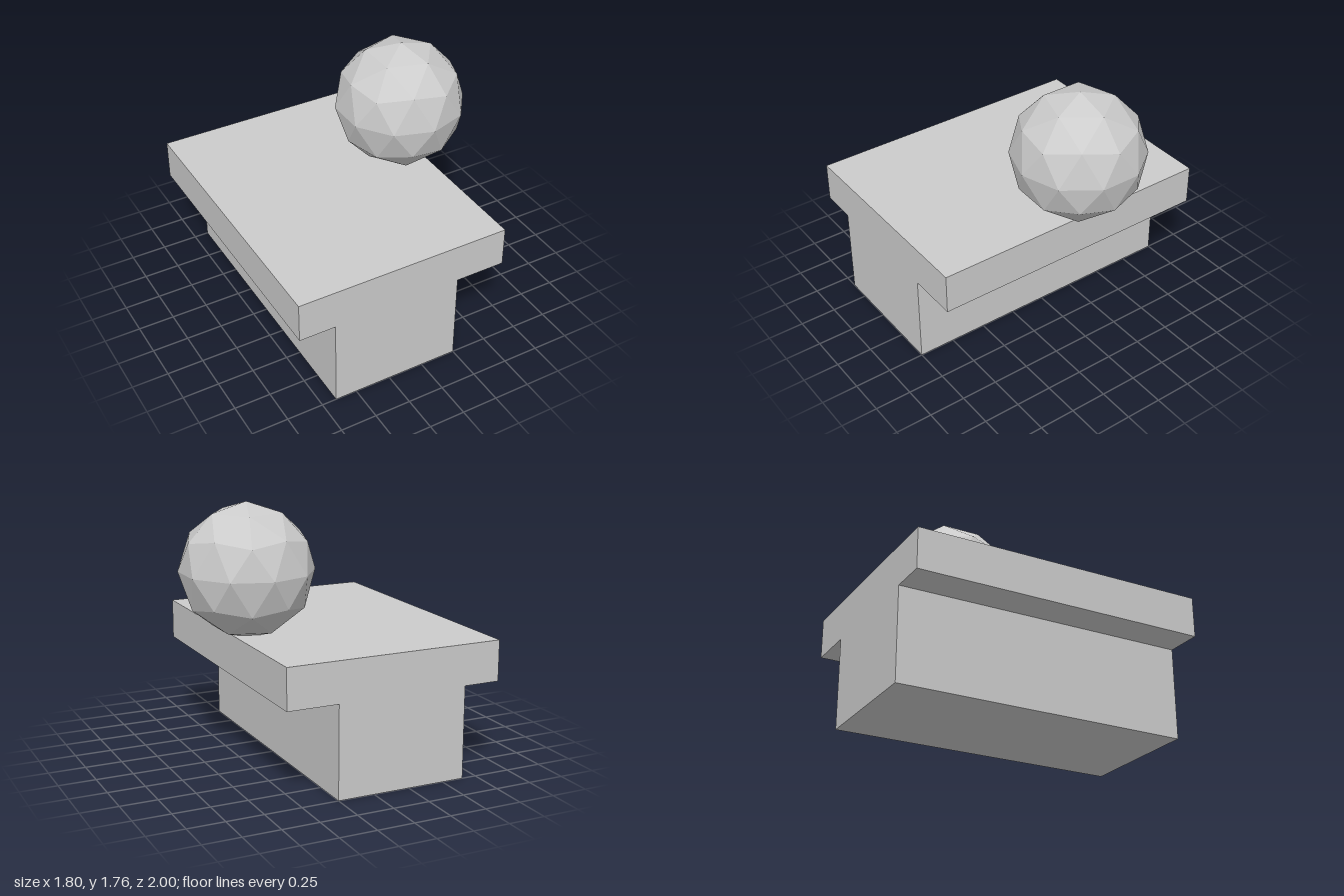
import * as THREE from 'three';

export function createModel() {
  const group = new THREE.Group();
  const material = new THREE.MeshStandardMaterial({ color: 0xcccccc, flatShading: true });

  // T-shaped block: wide slab on a narrower plinth, one profile run along z
  const profile = new THREE.Shape([
    [-0.65, 0], [0.25, 0], [0.25, 0.625], [0.6, 0.625],
    [0.6, 0.9], [-0.9, 0.9], [-0.9, 0.625], [-0.65, 0.625],
  ].map(([x, y]) => new THREE.Vector2(x, y)));
  const baseGeometry = new THREE.ExtrudeGeometry(profile, { depth: 2, bevelEnabled: false });
  baseGeometry.translate(0, 0, -1);
  const base = new THREE.Mesh(baseGeometry, material);
  base.name = 'tableBlock';
  group.add(base);

  // Faceted ball, turned so one corner points straight up, slightly sunk into the slab
  const ballGeometry = new THREE.IcosahedronGeometry(0.448, 1);
  const golden = (1 + Math.sqrt(5)) / 2;
  ballGeometry.rotateZ(-Math.atan(1 / golden));
  const ball = new THREE.Mesh(ballGeometry, material);
  ball.name = 'ball';
  ball.position.set(0.474, 1.315, -0.112);
  group.add(ball);

  return group;
}
